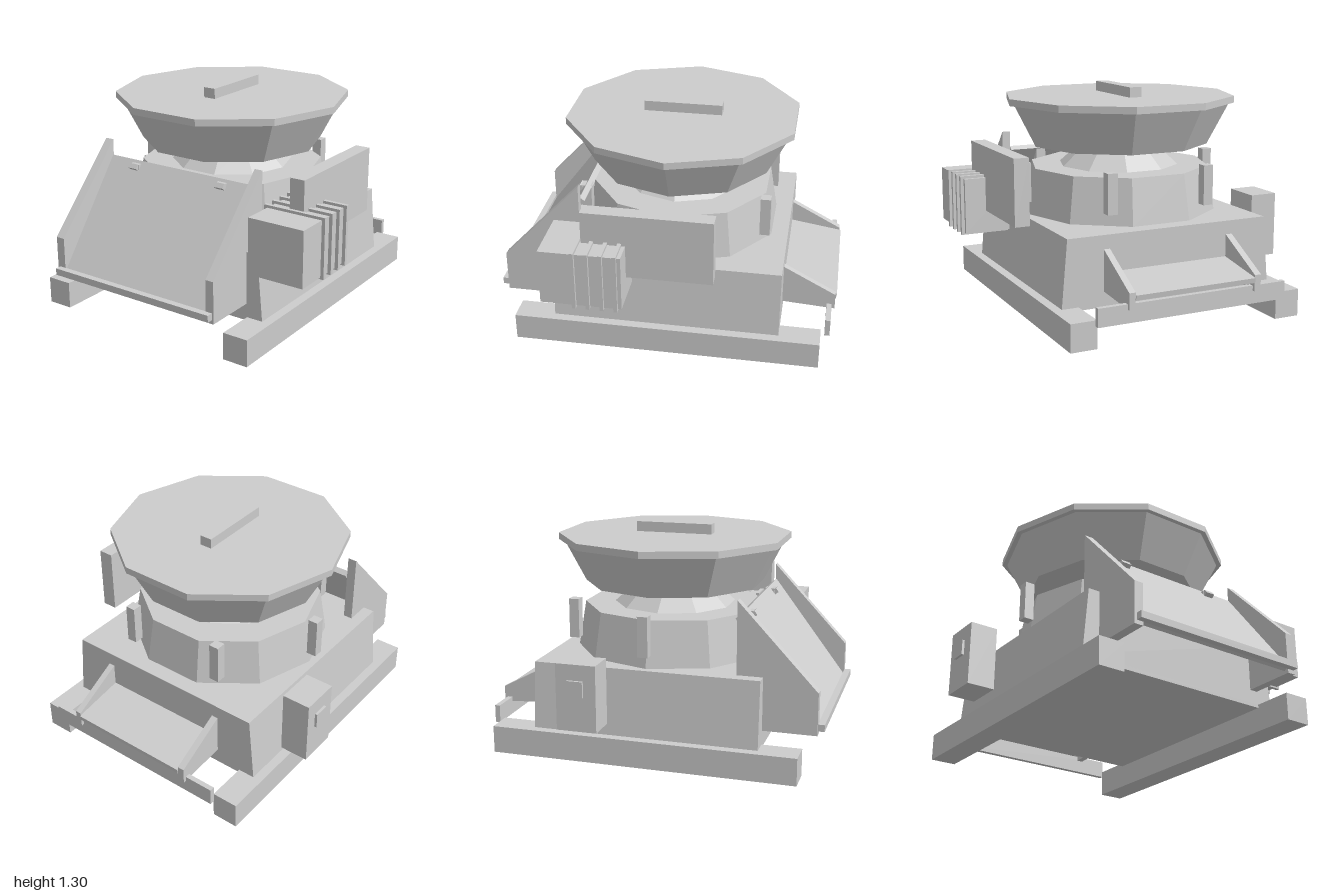
import * as THREE from 'three';

export function createModel() {
  const root = new THREE.Group();
  root.name = 'machine';
  const grey = new THREE.MeshStandardMaterial({ color: 0xcccccc });
  grey.name = 'grey';
  const CX = -0.03, CZ = -0.02; // turret axis

  function add(name, geometry, parent = root) {
    const mesh = new THREE.Mesh(geometry, grey);
    mesh.name = name;
    parent.add(mesh);
    return mesh;
  }

  // Box given by its limits on each axis
  function box(name, x0, x1, y0, y1, z0, z1, parent = root) {
    const mesh = add(name, new THREE.BoxGeometry(x1 - x0, y1 - y0, z1 - z0), parent);
    mesh.position.set((x0 + x1) / 2, (y0 + y1) / 2, (z0 + z1) / 2);
    return mesh;
  }

  // Ten-sided faceted drum or cone around the turret axis
  function drum(name, rTop, rBottom, y0, y1) {
    let g = new THREE.CylinderGeometry(rTop, rBottom, y1 - y0, 10, 1, false, Math.PI / 2);
    g = g.toNonIndexed();
    g.computeVertexNormals();
    add(name, g).position.set(CX, (y0 + y1) / 2, CZ);
  }

  // Side profile of [z, y] points, extruded across x0..x1
  function profile(name, points, x0, x1) {
    const shape = new THREE.Shape(points.map(([z, y]) => new THREE.Vector2(-z, y)));
    const g = new THREE.ExtrudeGeometry(shape, { depth: x1 - x0, bevelEnabled: false });
    g.rotateY(Math.PI / 2);
    g.translate(x0, 0, 0);
    add(name, g);
  }

  // Sloping plate from one [z, y] point to another; the points lie on its top face
  function slope(name, [z0, y0], [z1, y1], thickness, x0, x1) {
    const l = Math.hypot(z1 - z0, y1 - y0);
    const nz = Math.abs(y1 - y0) / l * Math.sign((z1 - z0) * (y0 - y1)) * thickness;
    const ny = Math.abs(z1 - z0) / l * thickness;
    profile(name, [[z0, y0], [z1, y1], [z1 - nz, y1 - ny], [z0 - nz, y0 - ny]], x0, x1);
  }

  // Skids and floor
  box('leftSkid', 0.535, 0.69, 0, 0.16, -0.92, 0.88);
  box('rightSkid', -0.75, -0.595, 0, 0.16, -0.92, 0.88);
  box('floorPlate', -0.595, 0.535, 0.14, 0.165, -0.68, 0.65);

  // Base body with leaning sides
  const bodyShape = new THREE.Shape([
    new THREE.Vector2(-0.695, 0.16), new THREE.Vector2(0.635, 0.16),
    new THREE.Vector2(0.6, 0.55), new THREE.Vector2(-0.66, 0.55),
  ]);
  const body = new THREE.ExtrudeGeometry(bodyShape, { depth: 1.33, bevelEnabled: false });
  body.translate(0, 0, -0.68);
  add('baseBody', body);

  // Turret: ring, neck, bowl, lid and bar
  drum('turretRing', 0.545, 0.59, 0.55, 0.82);
  drum('neck', 0.22, 0.365, 0.82, 0.95);
  drum('bowl', 0.67, 0.54, 0.95, 1.2);
  drum('lid', 0.7, 0.7, 1.2, 1.24);
  box('lidBar', -0.068, 0.008, 1.24, 1.3, -0.25, 0.213);

  // Six posts around the ring
  for (let i = 0; i < 6; i++) {
    const a = i * Math.PI / 3;
    const x = CX + 0.615 * Math.cos(a), z = CZ + 0.612 * Math.sin(a);
    box('ringPost', x - 0.03, x + 0.03, 0.63, 0.865, z - 0.03, z + 0.03);
  }

  // Motor with cooling fins, and the tall panel above it
  box('motor', 0.54, 0.887, 0.42, 0.752, 0.183, 0.65);
  for (let i = 0; i < 4; i++) {
    const z = 0.215 + i * 0.079;
    box('motorFin', 0.52, 0.907, 0.41, 0.768, z - 0.011, z + 0.011);
  }
  box('sidePanel', 0.668, 0.758, 0.55, 0.943, -0.31, 0.435);

  // Control box with a button
  box('controlBox', -0.897, -0.727, 0.24, 0.627, -0.452, -0.217);
  box('controlButton', -0.912, -0.897, 0.443, 0.535, -0.383, -0.29);

  // Front chute
  const frontSide = [[0.96, 0.24], [0.96, 0.485], [0.5, 0.975], [0.5, 0.24]];
  profile('frontChuteSide', frontSide, -0.59, -0.535);
  profile('frontChuteSide', frontSide, 0.48, 0.53);
  slope('frontRamp', [0.96, 0.28], [0.505, 0.88], 0.035, -0.535, 0.48);
  box('frontLip', -0.575, 0.52, 0.263, 0.303, 0.958, 0.997);
  for (const x of [-0.34, 0.28]) {
    const lug = box('rampLug', x - 0.03, x + 0.03, 0.825, 0.865, 0.52, 0.56);
    lug.geometry = new THREE.BoxGeometry(0.06, 0.03, 0.04);
    lug.rotation.x = -0.65;
  }

  // Rear chute with its cross bar
  const rearSide = [[-0.67, 0.475], [-0.99, 0.305], [-0.99, 0.21], [-0.67, 0.23]];
  profile('rearChuteSide', rearSide, -0.44, -0.4);
  profile('rearChuteSide', rearSide, 0.345, 0.382);
  slope('rearRamp', [-0.67, 0.34], [-0.998, 0.29], 0.03, -0.4, 0.345);
  box('rearBar', -0.615, 0.555, 0.135, 0.24, -0.972, -0.942);

  // Extruded profiles may wind either way, so both sides are drawn
  grey.side = THREE.DoubleSide;
  return root;
}
